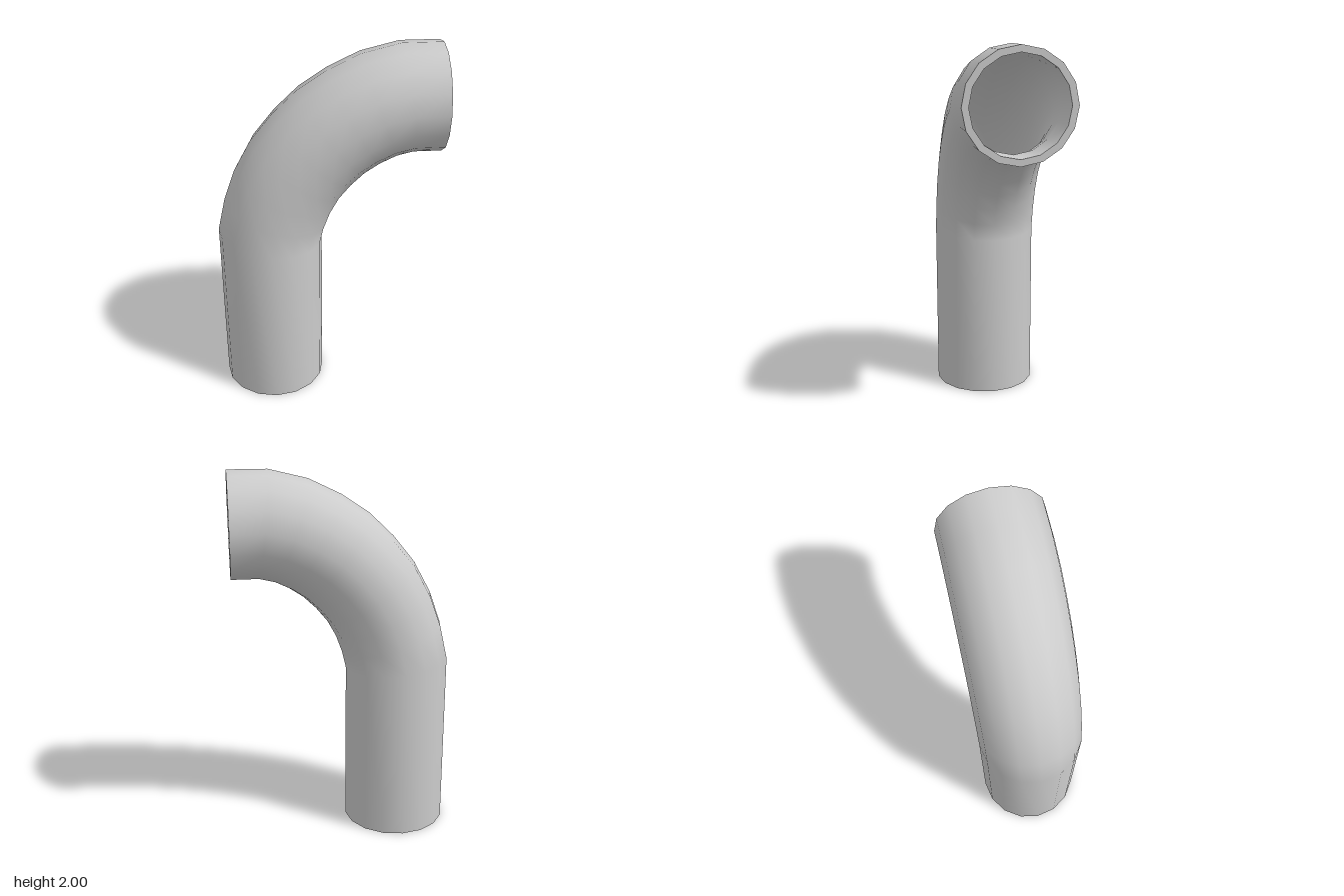
import * as THREE from 'three';

const SIDES = 16;

// Centre line: straight riser, mitred bend, short straight outlet
const path = [
  [-0.307, 0], [-0.307, 0.943], [-0.275, 1.083], [-0.228, 1.213], [-0.159, 1.34],
  [-0.071, 1.449], [0.029, 1.545], [0.143, 1.621], [0.27, 1.682], [0.413, 1.717], [0.59, 1.717],
].map(([x, y]) => new THREE.Vector2(x, y));

// Cross-section at each path point, lying in the plane that halves the turn
function makeRings(radius) {
  return path.map((p, i) => {
    const before = p.clone().sub(path[Math.max(i - 1, 0)]).normalize();
    const after = path[Math.min(i + 1, path.length - 1)].clone().sub(p).normalize();
    const t = before.clone().add(after).normalize();
    const isEnd = i === 0 || i === path.length - 1;
    const stretch = isEnd ? 1 : 1 / t.dot(after);
    const ring = [];
    for (let j = 0; j < SIDES; j++) {
      const a = (j / SIDES) * Math.PI * 2;
      const n = Math.cos(a) * radius * stretch;
      ring.push([p.x - t.y * n, p.y + t.x * n, Math.sin(a) * radius]);
    }
    return ring;
  });
}

// Closed-loop skin over successive rings
function loft(name, rings, material) {
  const index = [];
  for (let i = 0; i < rings.length - 1; i++) {
    for (let j = 0; j < SIDES; j++) {
      const k = (j + 1) % SIDES;
      const a = i * SIDES + j, b = i * SIDES + k;
      index.push(a, b, a + SIDES, b, b + SIDES, a + SIDES);
    }
  }
  const geometry = new THREE.BufferGeometry();
  geometry.setAttribute('position', new THREE.Float32BufferAttribute(rings.flat(2), 3));
  geometry.setIndex(index);
  geometry.computeVertexNormals();
  const mesh = new THREE.Mesh(geometry, material);
  mesh.name = name;
  return mesh;
}

export function createModel() {
  const group = new THREE.Group();
  group.name = 'pipeElbow';
  const material = new THREE.MeshStandardMaterial({ color: 0xcccccc });
  const outer = makeRings(0.283);
  const inner = makeRings(0.248);
  const last = path.length - 1;

  group.add(
    loft('outerWall', outer, material),
    loft('innerWall', [...inner].reverse(), material),
    // Flat rims keep sharp edges by having their own vertices
    loft('bottomRim', [inner[0], outer[0]], material),
    loft('outletRim', [outer[last], inner[last]], material),
  );
  return group;
}
